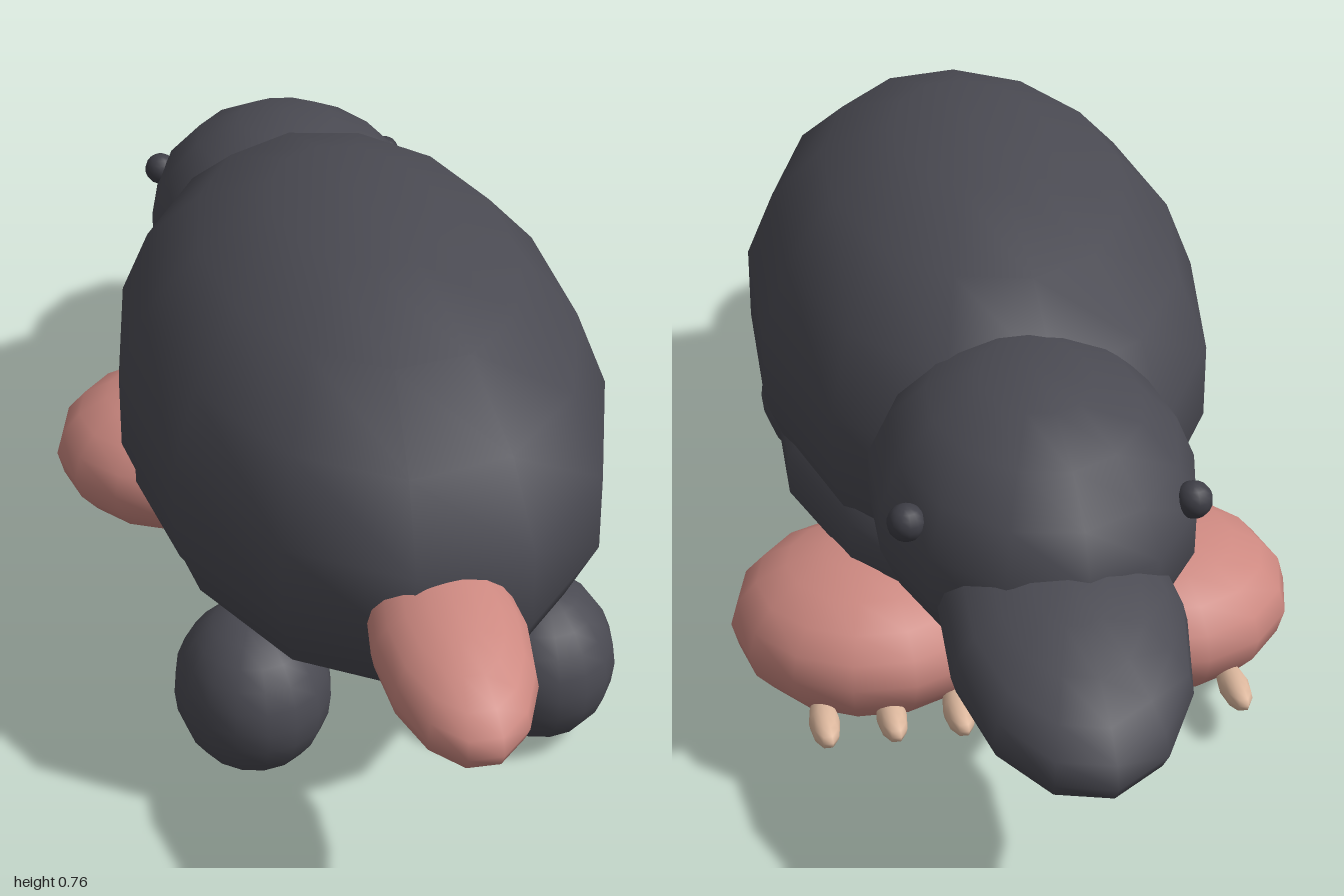
import * as THREE from 'three';

export function createModel() {
  const mole = new THREE.Group();
  mole.name = 'mole';

  const fur = new THREE.MeshStandardMaterial({ name: 'charcoal fur', color: 0x4a4a52 });
  const skin = new THREE.MeshStandardMaterial({ name: 'pink skin', color: 0xcc8880 });
  const clawColor = new THREE.MeshStandardMaterial({ name: 'pale claw', color: 0xddb89e });
  const eyeColor = new THREE.MeshStandardMaterial({ name: 'dark eye', color: 0x3e3e46 });

  // Smooth low-poly ellipsoid, optionally pitched about x
  function ellipsoid(name, material, [x, y, z], [rx, ry, rz], pitch = 0, around = 13, rings = 9) {
    const geometry = new THREE.SphereGeometry(1, around, rings);
    geometry.scale(rx, ry, rz);
    const mesh = new THREE.Mesh(geometry, material);
    mesh.name = name;
    mesh.position.set(x, y, z);
    mesh.rotation.x = pitch;
    mole.add(mesh);
    return mesh;
  }

  // Trunk
  ellipsoid('body', fur, [0, 0.43, 0.14], [0.367, 0.332, 0.645]);
  ellipsoid('belly', fur, [0, 0.275, 0.04], [0.337, 0.18, 0.51]);

  // Head and snout point towards -z
  ellipsoid('head', fur, [0, 0.44, -0.45], [0.238, 0.203, 0.305], -0.06);
  ellipsoid('snout', fur, [0, 0.372, -0.715], [0.17, 0.1, 0.29], -0.21, 13, 10);

  // Tail
  ellipsoid('tail', skin, [0, 0.392, 0.79], [0.108, 0.077, 0.213], 0.17, 14, 10);

  for (const [side, s] of [['left', 1], ['right', -1]]) {
    ellipsoid(side + 'Eye', eyeColor, [s * 0.2, 0.492, -0.6], [0.027, 0.027, 0.027]);
    ellipsoid(side + 'HindFoot', fur, [s * 0.215, 0.128, 0.455], [0.116, 0.125, 0.135], 0, 16, 12);
    ellipsoid(side + 'FrontFoot', skin, [s * 0.22, 0.13, -0.268], [0.212, 0.122, 0.212], 0, 14, 10);

    // Three claws under the front edge of each paw
    for (let i = 0; i < 3; i++) {
      ellipsoid(side + 'Claw' + (i + 1), clawColor,
        [s * (0.11 + i * 0.1), 0.07, -0.46], [0.023, 0.023, 0.068], 0.12, 10, 8);
    }
  }
  return mole;
}
